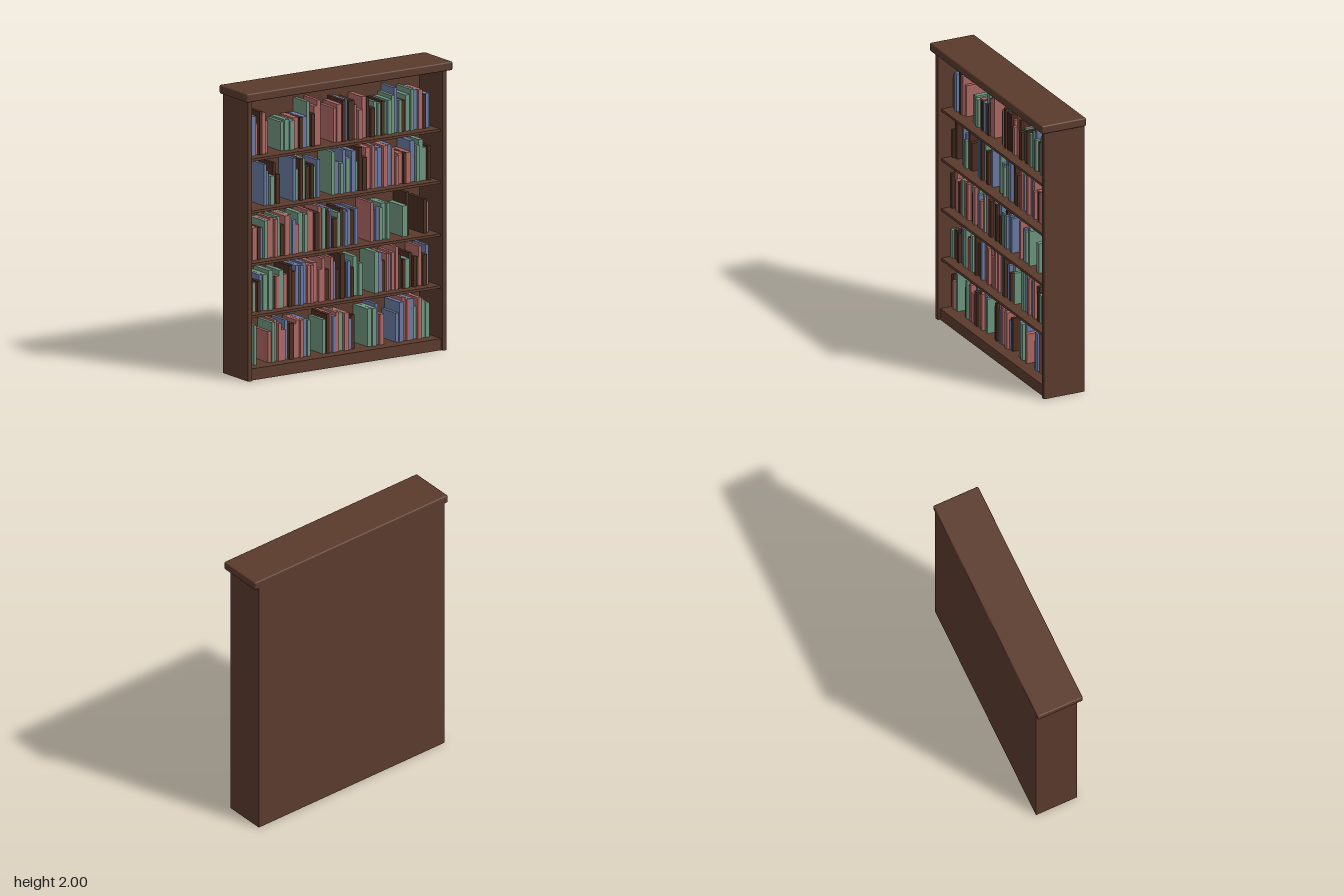
import * as THREE from 'three';
import { RoundedBoxGeometry } from 'three/addons/geometries/RoundedBoxGeometry.js';

const material = (name, color) => {
  const m = new THREE.MeshStandardMaterial({ color });
  m.name = name;
  return m;
};

// Books per shelf: [start x, end x, books]. Letter = colour (capital = thick), digit = height step.
const SHELVES = [
  { y: 0.08, runs: [
    [-0.77, -0.67, 'n3 r0 g6 g6'],
    [-0.575, -0.23, 'r1 g6 r7 r5 R1 b6 N4 r3 r5 r5 B5 g4'],
    [-0.135, 0.13, 'g3 n6 r6 b4 r6 G5 R5 b1 n3'],
    [0.23, 0.365, 'G5 G5 b7 R1'],
    [0.46, 0.74, 'b0 B6 r8 r7 B7 g2 R7 G5 G3'] ] },
  { y: 0.445, runs: [
    [-0.77, 0.185, 'G0 N1 g0 n1 b4 G4 G6 n2 r2 G5 R2 n7 N3 b6 b6 B7 r5 r5 R6 r2 r8 N1 r8 b5 n0 N9 n3 b4 n0 G6 g2'],
    [0.28, 0.735, 'G7 B6 n1 r5 b4 r5 r8 N3 n0 G0 n3 n1 n0 r6 N1 b6'] ] },
  { y: 0.805, runs: [
    [-0.77, 0.15, 'n4 R8 R2 n2 b1 g5 r5 r6 r5 g6 n1 R6 g6 b3 r0 G6 g5 r7 r6 N5 r8 g7 n5 b6 N0 g3 n5 b3 b4 n3 b4'],
    [0.25, 0.41, 'r6 b1 b3 g2 G4 g4'],
    [0.51, 0.58, 'G1 n8'],
    [0.68, 0.735, 'n3 r1'] ] },
  { y: 1.17, runs: [
    [-0.77, -0.71, 'n0 N5'],
    [-0.61, -0.475, 'b7 b3 G0 n7 N0'],
    [-0.375, -0.155, 'b8 g1 n7 g7 N2 n3 g1 b5'],
    [-0.06, 0.74, 'g8 B2 g1 b8 G3 B7 g0 n8 N2 R7 r8 b5 B6 R7 B7 r5 r0 R1 n1 R1 B7 g4 G7 g2 n3'] ] },
  { y: 1.53, runs: [
    [-0.77, -0.57, 'g1 g4 B6 r1 n8 r7 r2'],
    [-0.47, -0.145, 'g0 G1 G0 R1 n1 B1 g9 n2 r6 r9'],
    [-0.04, 0.74, 'r3 R5 n7 b7 n6 n6 r3 R0 R7 n6 N0 g3 g2 n3 g2 G3 g5 b9 g2 N1 G4 g7 B6 R6 n3 B3'] ] },
];

export function createModel() {
  const model = new THREE.Group();
  model.name = 'bookcase';
  const wood = material('brown wood', 0x5b3b2d);
  const covers = {
    r: material('red cover', 0xad6864),
    g: material('green cover', 0x6f9680),
    b: material('blue cover', 0x6a7aa2),
    n: material('dark brown cover', 0x4b2e22),
  };

  // Box given by its lower and upper limits
  const box = (name, mat, [x0, x1], [y0, y1], [z0, z1], parent = model) => {
    const mesh = new THREE.Mesh(new THREE.BoxGeometry(x1 - x0, y1 - y0, z1 - z0), mat);
    mesh.position.set((x0 + x1) / 2, (y0 + y1) / 2, (z0 + z1) / 2);
    mesh.name = name;
    parent.add(mesh);
  };

  // Case
  const IN = 0.773, OUT = 0.805, BACK = -0.167, FRONT = 0.137;
  box('leftSide', wood, [IN, OUT], [0, 1.95], [BACK, FRONT]);
  box('rightSide', wood, [-OUT, -IN], [0, 1.95], [BACK, FRONT]);
  box('backPanel', wood, [-IN, IN], [0, 1.95], [BACK, -0.14]);
  box('plinth', wood, [-IN, IN], [0, 0.08], [-0.14, 0.12]);
  for (const { y } of SHELVES.slice(1)) box('shelf', wood, [-IN, IN], [y - 0.018, y], [-0.14, 0.11]);

  // Overhanging top board with softened edges
  const top = new THREE.Mesh(new RoundedBoxGeometry(1.672, 0.06, 0.334, 2, 0.01), wood);
  top.position.y = 1.97;
  top.name = 'topBoard';
  model.add(top);

  // Books: each run is filled from end to end, widths in proportion to thickness
  SHELVES.forEach(({ y, runs }, row) => {
    const books = new THREE.Group();
    books.name = `booksRow${row + 1}`;
    model.add(books);
    for (const [start, end, list] of runs) {
      const items = list.split(' ');
      const weight = (s) => (s[0] < 'a' ? 7 : 5);
      const unit = (end - start) / items.reduce((sum, s) => sum + weight(s), 0);
      let x = start;
      items.forEach((s, i) => {
        const w = weight(s) * unit;
        const front = 0.034 + 0.012 * Math.sin(i * 2.3 + row);
        box('book', covers[s[0].toLowerCase()], [x + 0.001, x + w - 0.001],
          [y, y + 0.201 + 0.0122 * Number(s[1])], [-0.135, front], books);
        x += w;
      });
    }
  });
  return model;
}
